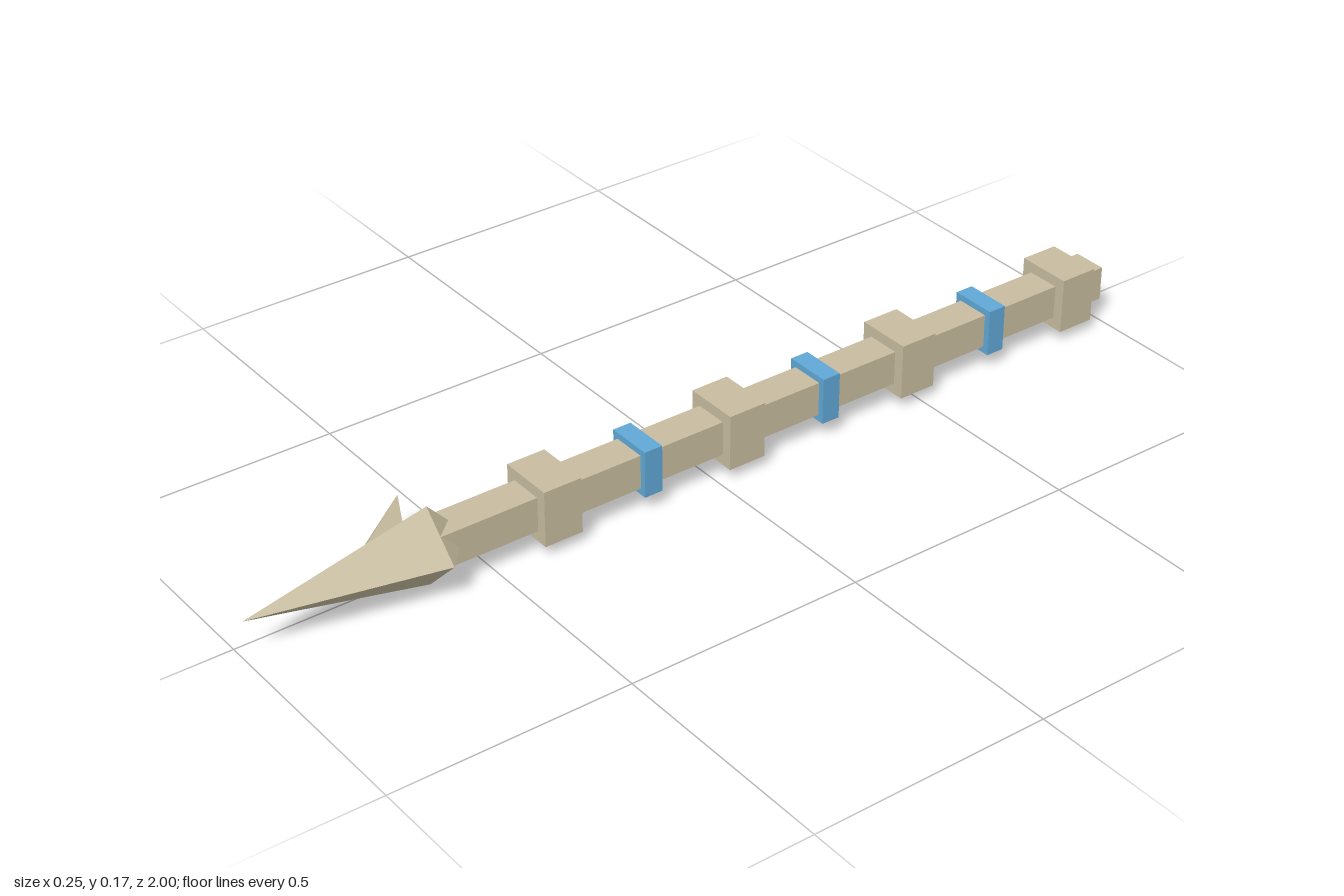
import * as THREE from 'three';

const CX = 0.0425, CY = 0.085;   // axis of the weapon
const R = 0.085;                 // head half-diagonal
const HALF = 0.0365;             // shaft half-width
const BASE = 0.617;              // z of the widest part of the head

export function createModel() {
  const bone = new THREE.MeshStandardMaterial({ color: 0xc8bda0, flatShading: true, side: THREE.DoubleSide });
  bone.name = 'bone';
  const blue = new THREE.MeshStandardMaterial({ color: 0x60a8d6, flatShading: true });
  blue.name = 'blue binding';

  const model = new THREE.Group();
  model.name = 'spear';
  const add = (name, geometry, material, z = 0) => {
    const mesh = new THREE.Mesh(geometry, material);
    mesh.name = name;
    mesh.position.set(CX, CY, z);
    model.add(mesh);
  };
  const fromTriangles = (triangles) => {
    const g = new THREE.BufferGeometry();
    g.setAttribute('position', new THREE.Float32BufferAttribute(triangles.flat(2), 3));
    g.computeVertexNormals();
    return g;
  };

  // Square shaft, open at the butt end
  const shaftLength = 1 + BASE;
  const shaft = new THREE.CylinderGeometry(HALF * Math.SQRT2, HALF * Math.SQRT2, shaftLength, 4, 1, true);
  shaft.rotateY(Math.PI / 4).rotateX(Math.PI / 2);
  add('shaft', shaft, bone, -1 + shaftLength / 2);

  // Evenly spaced collars with blue bindings between them
  for (let i = 0; i < 4; i++) {
    add('collar', new THREE.BoxGeometry(0.119, 0.119, 0.083), bone, 0.363 - 0.425 * i);
    if (i < 3) add('binding', new THREE.BoxGeometry(0.1, 0.1, 0.04), blue, 0.152 - 0.426 * i);
  }

  // Four-sided head with a backward barb at each corner
  const point = (k, radius, z) => {
    const a = k * Math.PI / 2;
    return [Math.cos(a) * radius, Math.sin(a) * radius, z];
  };
  const tip = [0, 0, 1], middle = [0, 0, BASE];
  const faces = [];
  for (let k = 0; k < 4; k++) {
    const corner = point(k, R, BASE), next = point(k + 1, R, BASE);
    const before = point(k - 0.5, R / Math.SQRT2, BASE), after = point(k + 0.5, R / Math.SQRT2, BASE);
    const barb = point(k, HALF + 0.001, 0.573);
    faces.push([tip, corner, next], [middle, next, corner], [corner, barb, after], [before, barb, corner]);
  }
  add('spearHead', fromTriangles(faces), bone);

  // Side thorn growing from one edge of the head
  const thornTip = [-0.17, 0.002, 0.575];
  const rear = [-R, 0, BASE], upper = [-0.045, 0.018, 0.72], lower = [-0.061, 0, 0.72];
  add('sideThorn', fromTriangles([
    [thornTip, upper, rear], [thornTip, lower, upper], [thornTip, rear, lower],
  ]), bone);

  return model;
}
